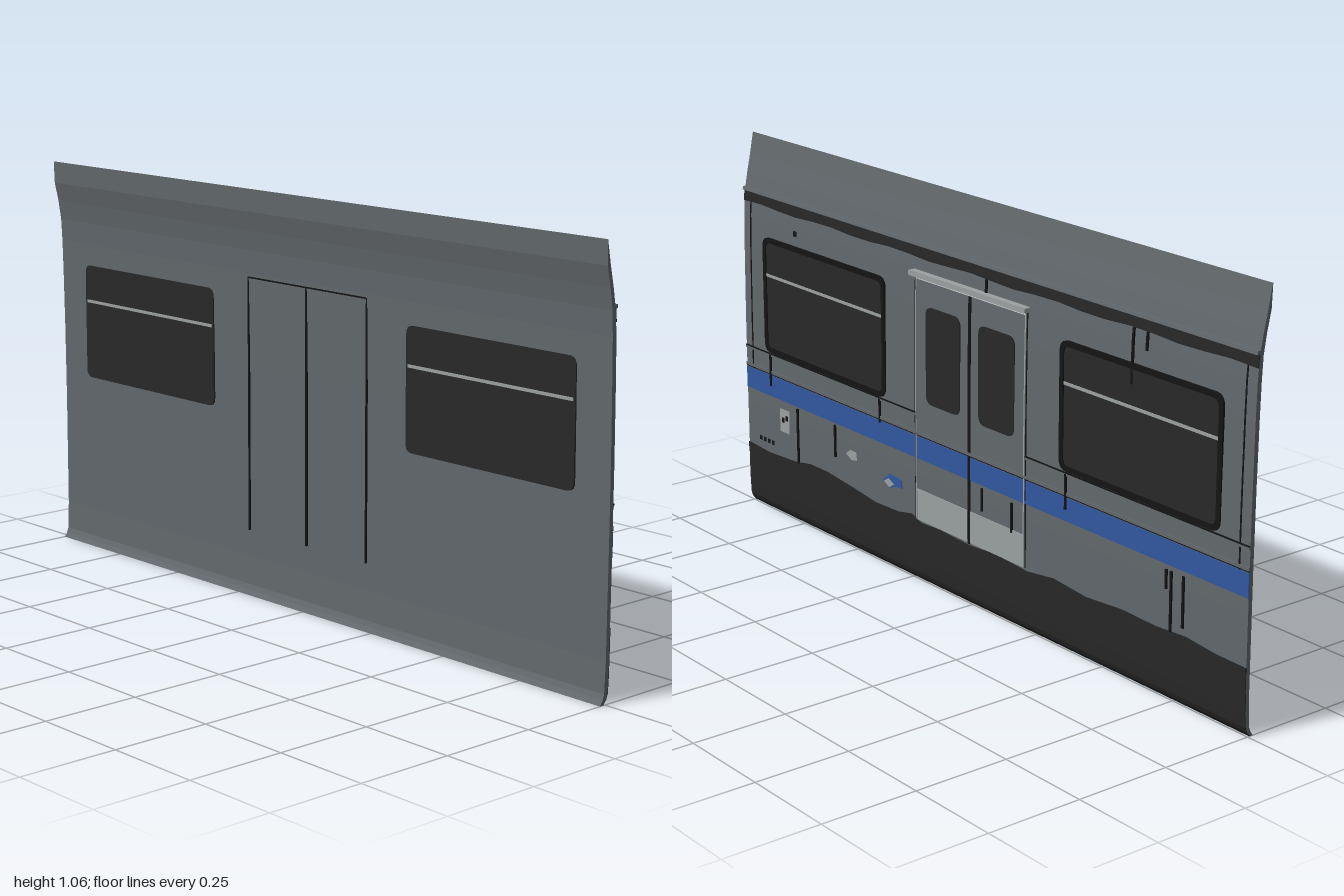
import * as THREE from 'three';

const mat = (name, color) => Object.assign(new THREE.MeshStandardMaterial({ color }), { name });
const M = {
  body: mat('grey metal', 0x62686c),
  dark: mat('dark grime', 0x272727),
  glass: mat('dark glass', 0x282828),
  rubber: mat('black rubber', 0x141414),
  blue: mat('blue stripe', 0x3156a0),
  light: mat('light metal', 0x9ba0a0),
  white: mat('pale trim', 0xd0d4d2),
};

// Wall cross-section as [y, x], outside and inside, from the bottom up
const OUT = [[0, -0.007], [0.012, 0.003], [0.025, 0.008], [0.06, 0.01], [0.12, 0.011], [0.3, 0.012], [0.55, 0.012],
  [0.75, 0.01], [0.84, 0.008], [0.9, 0.004], [0.95, -0.005], [1, -0.016], [1.058, -0.027]];
const IN = [[0, -0.016], [0.012, -0.008], [0.025, -0.003], [0.1, 0], [0.4, 0.001], [0.6, 0], [0.75, -0.002],
  [0.84, -0.004], [0.9, -0.007], [0.95, -0.015], [1, -0.026], [1.058, -0.028]];

// Outside x of the wall at a height
function wallX(y) {
  let i = 1;
  while (i < OUT.length - 1 && OUT[i][0] < y) i++;
  const [a, b] = [OUT[i - 1], OUT[i]];
  return a[1] + (b[1] - a[1]) * (y - a[0]) / (b[0] - a[0]);
}

export function createModel() {
  const root = new THREE.Group();
  root.name = 'railCarSideWall';

  function add(name, geo, material, parent = root) {
    const mesh = new THREE.Mesh(geo, material);
    mesh.name = name;
    parent.add(mesh);
    return mesh;
  }

  // Cross-section in x and y, swept along the length; u runs from the front (-1) to the back (1)
  function sweep(points, u0, u1) {
    const shape = new THREE.Shape(points.map(([y, x]) => new THREE.Vector2(x, y)));
    const geo = new THREE.ExtrudeGeometry(shape, { depth: u1 - u0, bevelEnabled: false });
    return geo.translate(0, 0, -u1);
  }

  // Thin strip that follows the curve of the wall
  function strip(name, material, u0, u1, y0, y1, height = 0.0015, parent = root) {
    const ys = [y0, ...OUT.map(p => p[0]).filter(y => y > y0 && y < y1), y1];
    const outer = ys.map(y => [y, wallX(y) + height]);
    const inner = ys.map(y => [y, wallX(y) - 0.001]).reverse();
    return add(name, sweep([...outer, ...inner], u0, u1), material, parent);
  }

  // Upright plate from an outline in u and y, between two x positions
  function plate(name, shape, material, x0, x1, parent = root) {
    const geo = new THREE.ExtrudeGeometry(shape, { depth: x1 - x0, bevelEnabled: false, curveSegments: 5 });
    geo.rotateY(Math.PI / 2).translate(x0, 0, 0);
    return add(name, geo, material, parent);
  }

  function rounded(u0, u1, y0, y1, r, S = THREE.Shape) {
    const s = new S();
    s.moveTo(u0 + r, y0).lineTo(u1 - r, y0).quadraticCurveTo(u1, y0, u1, y0 + r);
    s.lineTo(u1, y1 - r).quadraticCurveTo(u1, y1, u1 - r, y1);
    s.lineTo(u0 + r, y1).quadraticCurveTo(u0, y1, u0, y1 - r);
    s.lineTo(u0, y0 + r).quadraticCurveTo(u0, y0, u0 + r, y0);
    return s;
  }
  const polygon = pts => new THREE.Shape(pts.map(p => new THREE.Vector2(...p)));

  // Curved wall panel
  add('wallPanel', sweep([...OUT, ...[...IN].reverse()], -1, 1), M.body);

  // Gutter with the grime under it
  strip('gutter', M.body, -1, 1, 0.903, 0.912, 0.008);
  const band = [[-1, 0.909], [1, 0.909]];
  for (let i = 0; i <= 24; i++) band.push([1 - i / 12, 0.873 + 0.003 * Math.sin(i * 1.7)]);
  strip('gutterGrime', M.dark, -1, 1, 0.876, 0.904, 0.002);
  plate('gutterGrimeEdge', polygon(band.map(([u, y]) => [u, Math.min(y, 0.879)])), M.dark, 0.005, 0.0085);

  // Skirt grime with a wavy upper edge
  strip('skirtGrime', M.dark, -1, 1, 0, 0.162, 0.0015);
  plate('skirtGrimeEdge', polygon([[-1, 0.158], [1, 0.158], [1, 0.172], [0.9, 0.173], [0.8, 0.182], [0.7, 0.175],
    [0.58, 0.178], [0.45, 0.168], [0.33, 0.178], [0.23, 0.165], [0.1, 0.172], [0, 0.165], [-0.12, 0.17],
    [-0.2, 0.166], [-0.24, 0.18], [-0.3, 0.169], [-0.4, 0.166], [-0.5, 0.178], [-0.62, 0.19], [-0.7, 0.19],
    [-0.77, 0.178], [-0.9, 0.171], [-1, 0.177]]), M.dark, 0.01, 0.0138);

  // Blue stripe and belt ridges
  strip('blueStripe', M.blue, -1, 1, 0.34, 0.4);
  strip('lowerBelt', M.body, -1, 1, 0.405, 0.413, 0.003);
  strip('lowerBeltShadow', M.rubber, -1, 1, 0.402, 0.405, 0.002);
  for (const s of [-1, 1]) {
    const [a, b] = s < 0 ? [-1, -0.22] : [0.22, 1];
    strip('upperBelt', M.body, a, b, 0.455, 0.463, 0.003);
    strip('upperBeltShadow', M.rubber, a, b, 0.461, 0.464, 0.0032);
    strip('endSeam', M.rubber, s * 0.968 - 0.002, s * 0.968 + 0.002, 0.4, 0.875);
  }

  // Side windows, seen from both faces of the wall
  for (const s of [-1, 1]) {
    const win = new THREE.Group();
    win.name = s < 0 ? 'frontWindow' : 'rearWindow';
    root.add(win);
    const [a, b] = s < 0 ? [-0.904, -0.348] : [0.348, 0.904];
    const frame = rounded(a, b, 0.466, 0.791, 0.03);
    frame.holes.push(rounded(a + 0.014, b - 0.014, 0.48, 0.777, 0.02, THREE.Path));
    plate('windowFrame', frame, M.rubber, 0.008, 0.0155, win);
    plate('windowGlass', rounded(a + 0.008, b - 0.008, 0.474, 0.783, 0.022), M.glass, -0.0045, 0.0128, win);
    plate('windowBar', rounded(a + 0.014, b - 0.014, 0.681, 0.689, 0.001), M.light, -0.0055, 0.0145, win);
  }

  // Double sliding door
  const door = new THREE.Group();
  door.name = 'doubleDoor';
  root.add(door);
  for (const s of [-1, 1]) {
    const [a, b] = s < 0 ? [-0.176, -0.037] : [0.037, 0.176];
    plate('doorWindow', rounded(a, b, 0.497, 0.753, 0.025), M.glass, 0.007, 0.0132, door);
    const [c, d] = s < 0 ? [-0.214, -0.006] : [0.006, 0.214];
    strip('kickPlate', M.light, c, d, 0.172, 0.257, 0.0025, door);
    strip('doorEdge', M.light, s * 0.217 - 0.002, s * 0.217 + 0.002, 0.172, 0.825, 0.003, door);
    strip('doorEdgeSeam', M.rubber, s * 0.222 - 0.0015, s * 0.222 + 0.0015, 0.172, 0.825, 0.0015, door);
    plate('innerDoorSeam', rounded(s * 0.218 - 0.002, s * 0.218 + 0.002, 0.17, 0.83, 0.0005), M.rubber, -0.0045, 0, door);
  }
  strip('doorSeam', M.rubber, -0.005, 0.005, 0.168, 0.825, 0.002, door);
  plate('innerCentreSeam', rounded(-0.003, 0.003, 0.17, 0.83, 0.0005), M.rubber, -0.0045, 0, door);
  plate('innerTopSeam', rounded(-0.218, 0.218, 0.827, 0.831, 0.0005), M.rubber, -0.0045, 0, door);
  strip('doorTopTrim', M.white, -0.217, 0.217, 0.818, 0.826, 0.004, door);
  plate('doorRail', rounded(-0.23, 0.23, 0.826, 0.84, 0.004), M.light, 0.006, 0.026, door);

  // Thin dirt streaks: u, lower y, upper y
  for (const [u, y0, y1] of [[-0.88, 0.37, 0.46], [-0.374, 0.395, 0.46], [0.374, 0.37, 0.46], [-0.578, 0.245, 0.335],
    [-0.754, 0.178, 0.335], [0.733, 0.28, 0.328], [0.75, 0.178, 0.328], [0.791, 0.2, 0.328], [0.053, 0.272, 0.333],
    [0.171, 0.25, 0.328], [0.6, 0.74, 0.874], [0.647, 0.83, 0.874], [0.064, 0.84, 0.874]])
    strip('dirtStreak', M.rubber, u - 0.003, u + 0.003, y0, y1, 0.0045);

  // Worn patches and small fittings
  plate('noticePlate', rounded(-0.84, -0.795, 0.25, 0.315, 0.003), M.light, 0.01, 0.0138);
  for (const [u, y] of [[-0.825, 0.285], [-0.807, 0.293]])
    strip('noticeMark', M.rubber, u - 0.005, u + 0.005, y - 0.007, y + 0.007, 0.003);
  plate('bareMetalPatch', polygon([[-0.53, 0.268], [-0.505, 0.255], [-0.48, 0.26], [-0.482, 0.28], [-0.51, 0.282]]),
    M.light, 0.01, 0.0135);
  plate('bluePaintPatch', polygon([[-0.365, 0.238], [-0.33, 0.225], [-0.31, 0.235], [-0.28, 0.237], [-0.285, 0.26],
    [-0.335, 0.264]]), M.blue, 0.01, 0.0135);
  plate('chippedPaint', polygon([[-0.36, 0.238], [-0.335, 0.226], [-0.315, 0.24], [-0.34, 0.25]]), M.light, 0.01, 0.0142);
  for (let i = 0; i < 4; i++)
    strip('scuff', M.rubber, -0.945 + i * 0.02, -0.934 + i * 0.02, 0.198, 0.21);
  strip('lockHole', M.rubber, -0.762, -0.748, 0.818, 0.832, 0.002);

  return root;
}
